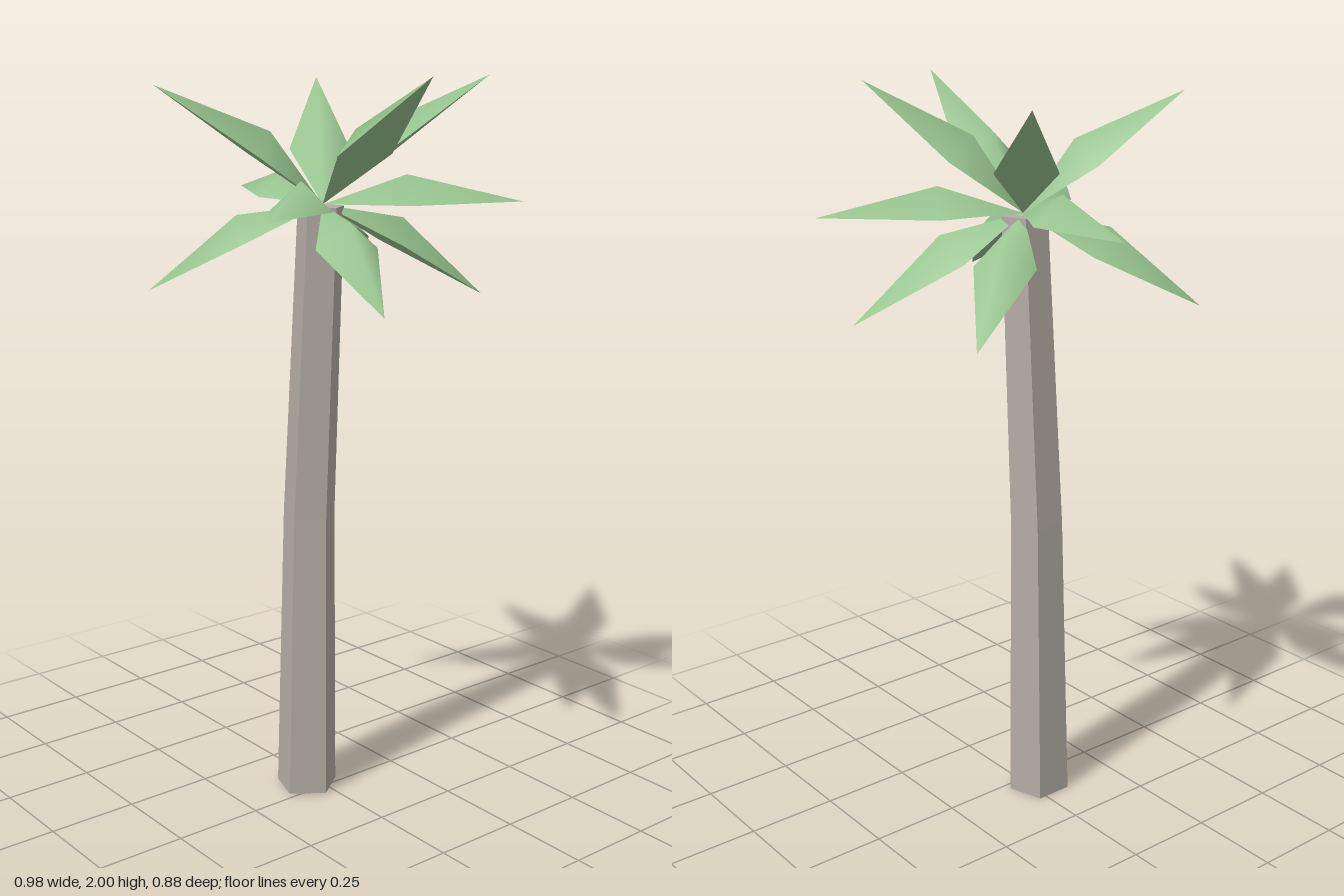
import * as THREE from 'three';

const CROWN = new THREE.Vector3(0.018, 1.67, 0.024);

// Five-sided tapering trunk with a slight bend, lofted through three rings
function createTrunk() {
  const sides = 5;
  const rings = [ // x, y, z, radius
    [-0.048, 0, 0.03, 0.088],
    [-0.033, 0.82, 0.03, 0.074],
    [0.015, 1.665, 0.026, 0.064],
  ];
  const positions = [];
  const index = [];
  for (const [x, y, z, r] of rings) {
    for (let i = 0; i < sides; i++) {
      const a = (i / sides) * Math.PI * 2;
      positions.push(x + r * Math.cos(a), y, z + r * Math.sin(a));
    }
  }
  for (let k = 0; k < rings.length - 1; k++) {
    for (let i = 0; i < sides; i++) {
      const a = k * sides + i;
      const b = k * sides + ((i + 1) % sides);
      index.push(a, a + sides, b, b, a + sides, b + sides);
    }
  }
  // End caps
  const top = (rings.length - 1) * sides;
  for (let i = 1; i < sides - 1; i++) {
    index.push(0, i, i + 1, top, top + i + 1, top + i);
  }
  const geometry = new THREE.BufferGeometry();
  geometry.setAttribute('position', new THREE.Float32BufferAttribute(positions, 3));
  geometry.setIndex(index);
  geometry.computeVertexNormals();
  const material = new THREE.MeshStandardMaterial({ color: 0xb3aca3, flatShading: true });
  const trunk = new THREE.Mesh(geometry, material);
  trunk.name = 'trunk';
  return trunk;
}

// Kite-shaped frond along +x: smooth raised ridge on top, flat underside
function createFrondGeometry(length) {
  const mid = 0.415 * length;
  const half = 0.082;
  const kite = [0, 0, 0, mid, 0, half, length, 0, 0, mid, 0, -half];
  const positions = [...kite, mid, 0.075, 0, ...kite];
  const index = [
    0, 1, 4, 1, 2, 4, 2, 3, 4, 3, 0, 4, // ridged top
    5, 8, 7, 5, 7, 6, // underside
  ];
  const geometry = new THREE.BufferGeometry();
  geometry.setAttribute('position', new THREE.Float32BufferAttribute(positions, 3));
  geometry.setIndex(index);
  geometry.computeVertexNormals();
  return geometry;
}

// Aim a frond from the crown to its tip, keeping its cross axis level
function createFrond(tip, material) {
  const dir = new THREE.Vector3(...tip).sub(CROWN);
  const frond = new THREE.Mesh(createFrondGeometry(dir.length()), material);
  dir.normalize();
  const side = new THREE.Vector3().crossVectors(dir, new THREE.Vector3(0, 1, 0)).normalize();
  const normal = new THREE.Vector3().crossVectors(side, dir);
  frond.quaternion.setFromRotationMatrix(new THREE.Matrix4().makeBasis(dir, normal, side));
  frond.position.copy(CROWN);
  return frond;
}

export function createModel() {
  const model = new THREE.Group();
  model.name = 'palmTree';
  model.add(createTrunk());

  // Three tiers of fronds, given by their tips
  const tiers = {
    upperFrond: [[-0.17, 1.975, 0.415], [0.485, 2, 0.07], [0.345, 2, -0.25], [-0.36, 1.985, -0.255]],
    middleFrond: [[0.33, 1.675, 0.435], [-0.49, 1.68, -0.08], [0.29, 1.67, -0.44]],
    lowerFrond: [[0.46, 1.445, 0.19], [-0.32, 1.435, 0.35], [-0.29, 1.42, -0.365], [0.155, 1.41, -0.425]],
  };
  const leafMaterial = new THREE.MeshStandardMaterial({ color: 0x9ac692 });
  const crown = new THREE.Group();
  crown.name = 'crown';
  for (const [name, tips] of Object.entries(tiers)) {
    tips.forEach((tip, i) => {
      const frond = createFrond(tip, leafMaterial);
      frond.name = `${name}${i + 1}`;
      crown.add(frond);
    });
  }
  model.add(crown);
  return model;
}
